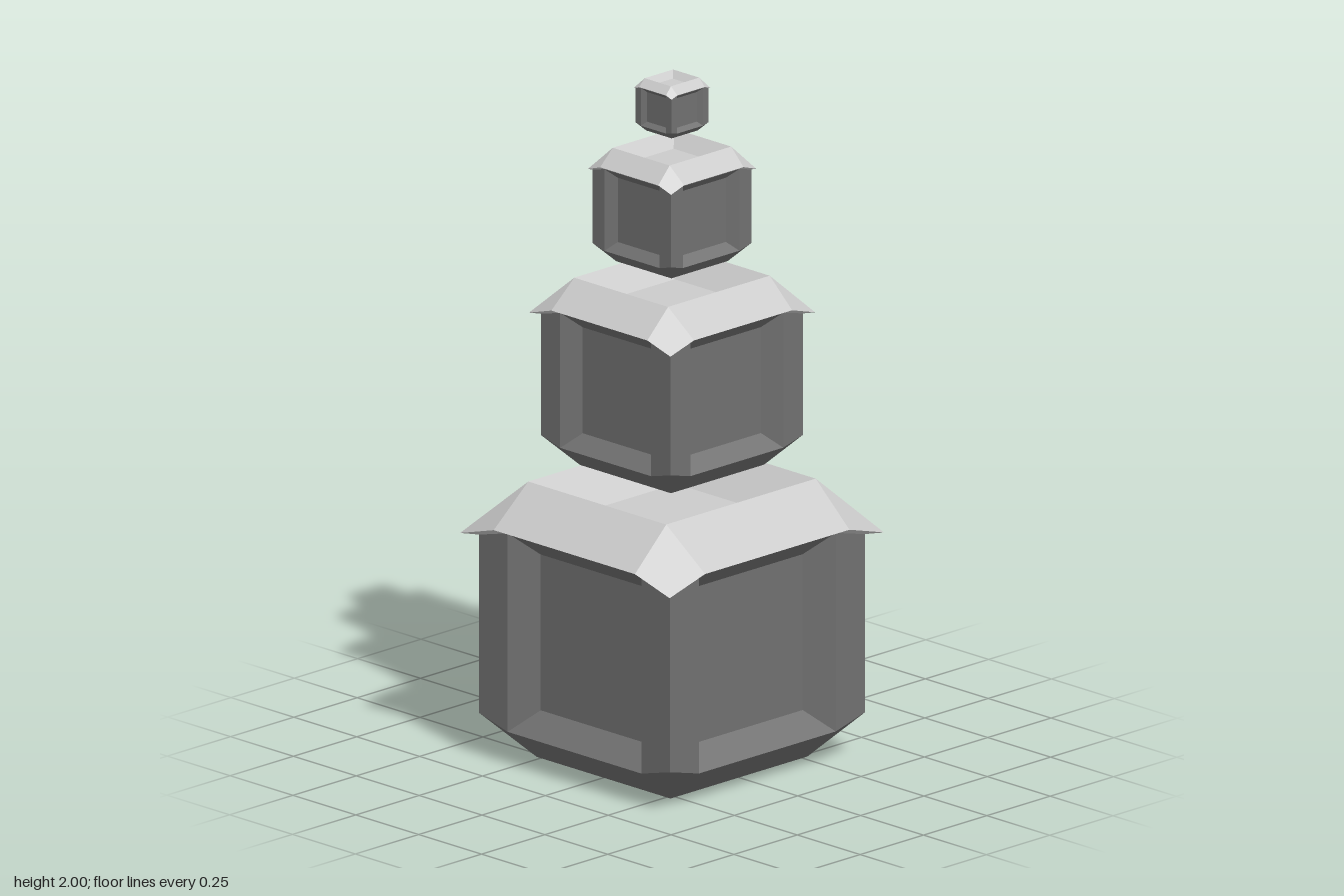
import * as THREE from 'three';

const bodyMaterial = new THREE.MeshStandardMaterial({ color: 0x707070 });
const roofMaterial = new THREE.MeshStandardMaterial({ color: 0xcccccc });

// Mesh made of four-cornered facets, each listed anticlockwise from outside,
// with one even normal per facet
function facetMesh(name, quads, material) {
  const pos = [], nor = [];
  const v = q => new THREE.Vector3(...q);
  for (const [a, b, c, d] of quads) {
    const n = v(c).sub(v(a)).cross(v(d).sub(v(b))).normalize();
    for (const p of [a, b, c, a, c, d]) {
      pos.push(...p);
      nor.push(n.x, n.y, n.z);
    }
  }
  const geometry = new THREE.BufferGeometry();
  geometry.setAttribute('position', new THREE.Float32BufferAttribute(pos, 3));
  geometry.setAttribute('normal', new THREE.Float32BufferAttribute(nor, 3));
  const mesh = new THREE.Mesh(geometry, material);
  mesh.name = name;
  return mesh;
}

// The blocks are a little shallower than wide, more so at the top rim
const shallower = quads =>
  quads.map(q => q.map(([x, y, z]) => [x, y, z * (y > eaveY ? 0.93 : 0.985)]));

// Repeats the front facets on all four sides
function fourSides(quads) {
  const turn = ([x, y, z], k) => [[x, y, z], [z, y, -x], [-x, y, -z], [-z, y, x]][k];
  return [0, 1, 2, 3].flatMap(k => quads.map(q => q.map(p => turn(p, k))));
}

// Band between two horizontal edges on the front: lower edge, then upper edge
const band = (x0, y0, z0, x1, y1, z1) =>
  [[-x0, y0, z0], [x0, y0, z0], [x1, y1, z1], [-x1, y1, z1]];

const w = 0.385;        // half width of the body
const o = 0.27;         // half width of the panel opening
const p = 0.205;        // half width of the sunken panel
const depth = 0.067;    // how far the panel is sunk
const bottom = 0.1, top = 0.685;
const cornerBottom = 0.13, cornerTop = 0.655;
const eaveY = 0.7, eaveCornerY = 0.66;

function makeBody() {
  const zi = w - depth, lo = 0.163, hi = 0.622;
  const side = [
    band(o, 0, o, o, bottom, w),                                          // lower chamfer
    [[o, 0, o], [w, bottom, o], [w, cornerBottom, w], [o, bottom, w]],    // corner chamfer
    band(o, bottom, w, p, lo, zi),                                        // sill
    band(p, hi, zi, o, top, w),                                           // lintel
    band(p, lo, zi, p, hi, zi),                                           // sunken panel
    [[-o, bottom, w], [-p, lo, zi], [-p, hi, zi], [-o, top, w]],          // left reveal
    [[p, lo, zi], [o, bottom, w], [o, top, w], [p, hi, zi]],              // right reveal
    [[o, bottom, w], [w, cornerBottom, w], [w, cornerTop, w], [o, top, w]],     // corner posts
    [[-w, cornerBottom, w], [-o, bottom, w], [-o, top, w], [-w, cornerTop, w]],
  ];
  const base = [[-o, 0, -o], [o, 0, -o], [o, 0, o], [-o, 0, o]];
  return facetMesh('body', shallower([...fourSides(side), base]), bodyMaterial);
}

function makeRoof(eave) {
  const t = 0.295, y = 0.815, m = 0.285, c = eave - 0.002;
  const f = 0.2, fy = y - 0.1;
  const side = [
    band(m, eaveY, eave, t, y, t),                                        // slope
    [[t, y, t], [m, eaveY, eave], [c, eaveCornerY, c], [eave, eaveY, m]], // drooping corner
    band(o, top, w, m, eaveY, eave),                                      // underside
    [[o, top, w], [w, cornerTop, w], [c, eaveCornerY, c], [m, eaveY, eave]],
    [[-w, cornerTop, w], [-o, top, w], [-m, eaveY, eave], [-c, eaveCornerY, c]],
    band(t, y, t, f, fy, f),                                              // slope into the hollow
  ];
  const floor = [[-f, fy, f], [f, fy, f], [f, fy, -f], [-f, fy, -f]];
  return facetMesh('roof', shallower([...fourSides(side), floor]), roofMaterial);
}

export function createModel() {
  const model = new THREE.Group();
  model.name = 'blockTower';
  // Floating blocks: base height, scale, eave half width
  const blocks = [[0, 1, 0.425], [0.86, 0.68, 0.422], [1.46, 0.412, 0.41], [1.845, 0.19, 0.405]];
  blocks.forEach(([y, scale, eave], i) => {
    const block = new THREE.Group();
    block.name = `block${i + 1}`;
    block.add(makeBody(), makeRoof(eave));
    block.scale.setScalar(scale);
    block.position.y = y;
    model.add(block);
  });
  return model;
}
